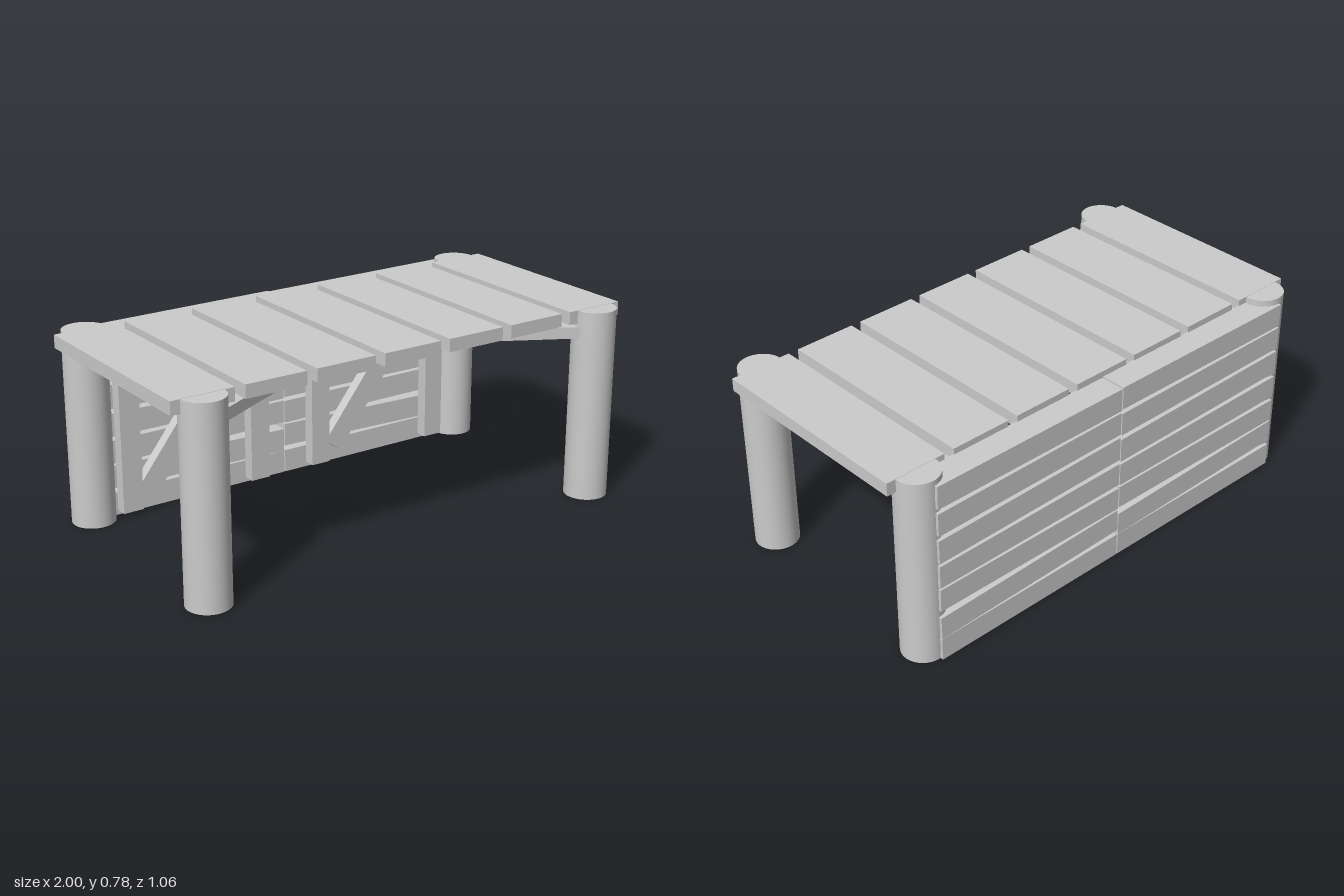
import * as THREE from 'three';

const material = new THREE.MeshStandardMaterial({ color: 0xcccccc });

function box(parent, name, size, position) {
  const mesh = new THREE.Mesh(new THREE.BoxGeometry(...size), material);
  mesh.name = name;
  mesh.position.set(...position);
  parent.add(mesh);
  return mesh;
}

// One half of the back wall: planks, two battens and a diagonal brace
function createBackPanel() {
  const panel = new THREE.Group();
  panel.name = 'backPanel';

  // Planks: [centre height, plank height, tilt]
  const rows = [
    [0.047, 0.094, 0], [0.152, 0.094, -0.024], [0.265, 0.094, 0.004], [0.372, 0.094, -0.006],
    [0.484, 0.098, -0.014], [0.597, 0.094, -0.008], [0.705, 0.094, 0.004],
  ];
  for (const [y, height, tilt] of rows) {
    box(panel, 'backPlank', [0.872, height, 0.108], [-0.442, y, -0.474]).rotation.z = tilt;
  }

  // Upright battens
  for (const x of [-0.733, -0.15]) {
    box(panel, 'batten', [0.086, 0.68, 0.05], [x, 0.36, -0.395]);
  }

  // Diagonal brace between the battens
  const start = new THREE.Vector2(-0.67, 0.085);
  const end = new THREE.Vector2(-0.2, 0.69);
  const span = end.clone().sub(start);
  const brace = box(panel, 'diagonalBrace', [span.length(), 0.09, 0.046],
    [(start.x + end.x) / 2, (start.y + end.y) / 2, -0.397]);
  brace.rotation.z = span.angle();
  return panel;
}

export function createModel() {
  const table = new THREE.Group();
  table.name = 'plankTable';

  // Round corner posts
  const postGeometry = new THREE.CylinderGeometry(0.086, 0.086, 0.776, 48);
  for (const x of [-0.876, 0.876]) {
    for (const z of [0.444, -0.43]) {
      const post = new THREE.Mesh(postGeometry, material);
      post.name = 'cornerPost';
      post.position.set(x, 0.388, z);
      table.add(post);
    }
  }

  // Seven boards across the top
  for (let i = -3; i <= 3; i++) {
    box(table, 'topBoard', [0.25, 0.052, 0.87], [i * 0.2917, 0.751, 0.01]);
  }

  // Crossed rails under the top, rising slightly towards the back
  for (const side of [-1, 1]) {
    const direction = new THREE.Vector3(side * 1.752, 0.022, -0.874);
    const rail = box(table, 'crossRail', [0.1, 0.046, direction.length()], [0, 0.7, 0.007]);
    rail.lookAt(rail.position.clone().add(direction));
  }

  // Back wall of two matching panels
  const left = createBackPanel();
  const right = createBackPanel();
  right.position.x = 0.877;
  table.add(left, right);

  return table;
}
